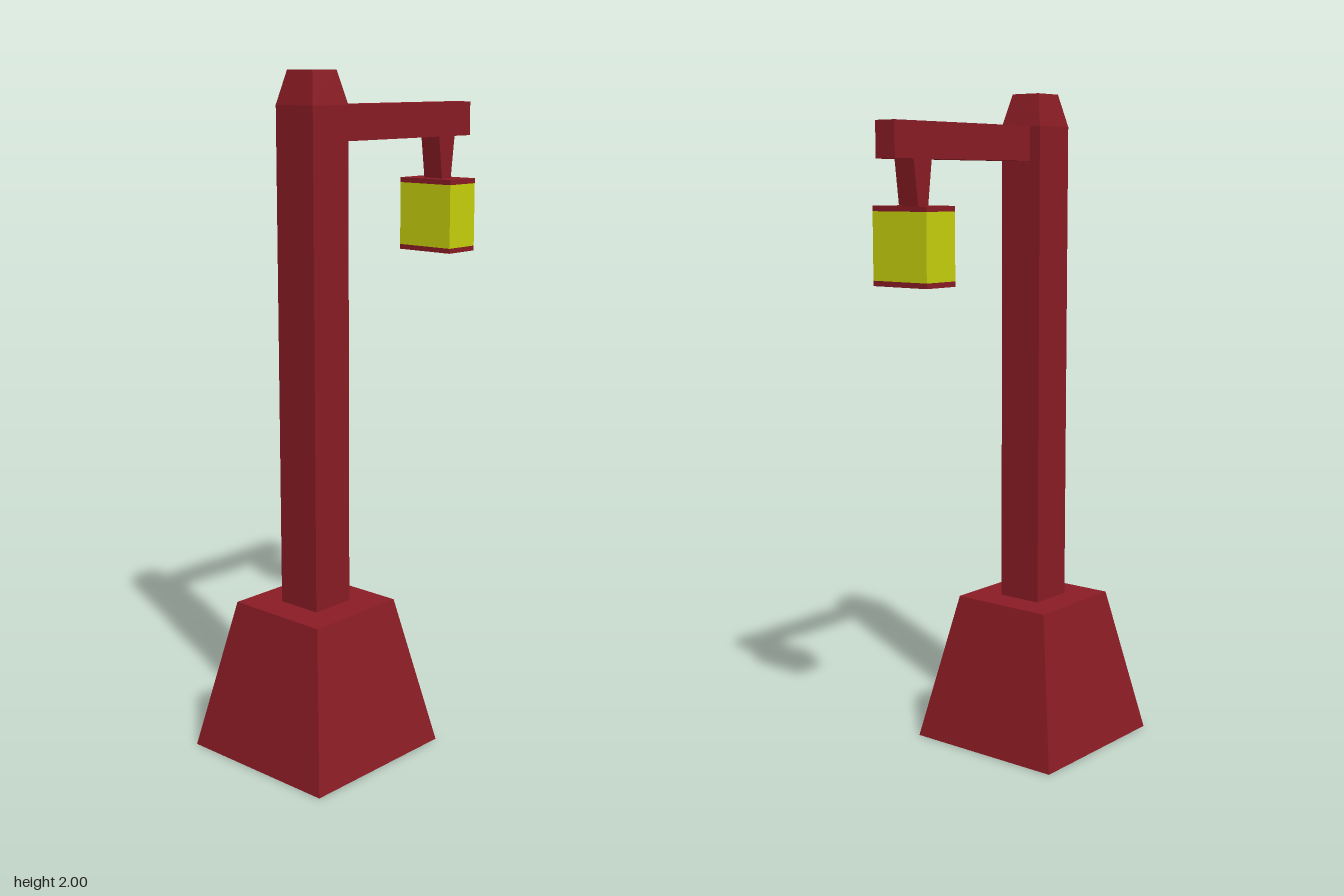
import * as THREE from 'three';

const red = new THREE.MeshStandardMaterial({ color: 0x8a1c24, flatShading: true });
const yellow = new THREE.MeshStandardMaterial({ color: 0xc8d20c, flatShading: true });

// Box from y0 to y1 whose top is scaled by (topX, topZ)
function block(name, material, x, y0, y1, width, depth, topX = 1, topZ = topX) {
  const height = y1 - y0;
  const geometry = new THREE.BoxGeometry(width, height, depth);
  const p = geometry.attributes.position;
  for (let i = 0; i < p.count; i++) {
    if (p.getY(i) > 0) {
      p.setX(i, p.getX(i) * topX);
      p.setZ(i, p.getZ(i) * topZ);
    }
  }
  geometry.computeVertexNormals();
  const mesh = new THREE.Mesh(geometry, material);
  mesh.name = name;
  mesh.position.set(x, (y0 + y1) / 2, 0);
  return mesh;
}

export function createModel() {
  const model = new THREE.Group();
  model.name = 'lampPost';
  const postX = -0.203, lampX = 0.348;

  // Tapered foot, square post and its bevelled tip
  model.add(
    block('base', red, postX, 0, 0.455, 0.515, 0.515, 0.64),
    block('post', red, postX, 0.455, 1.905, 0.142, 0.142),
    block('postTip', red, postX, 1.905, 2, 0.142, 0.142, 0.68),
  );

  // Arm reaching out to the side
  model.add(block('arm', red, 0.164, 1.803, 1.905, 0.592, 0.07));

  // Hanging lantern: hanger narrows downwards in x only
  const lantern = new THREE.Group();
  lantern.name = 'lantern';
  lantern.add(
    block('hanger', red, lampX, 1.677, 1.803, 0.042, 0.07, 1.76, 1),
    block('lanternCap', red, lampX, 1.662, 1.677, 0.119, 0.197),
    block('lanternGlass', yellow, lampX, 1.471, 1.662, 0.119, 0.197),
    block('lanternFloor', red, lampX, 1.456, 1.471, 0.119, 0.197),
  );
  model.add(lantern);
  return model;
}
